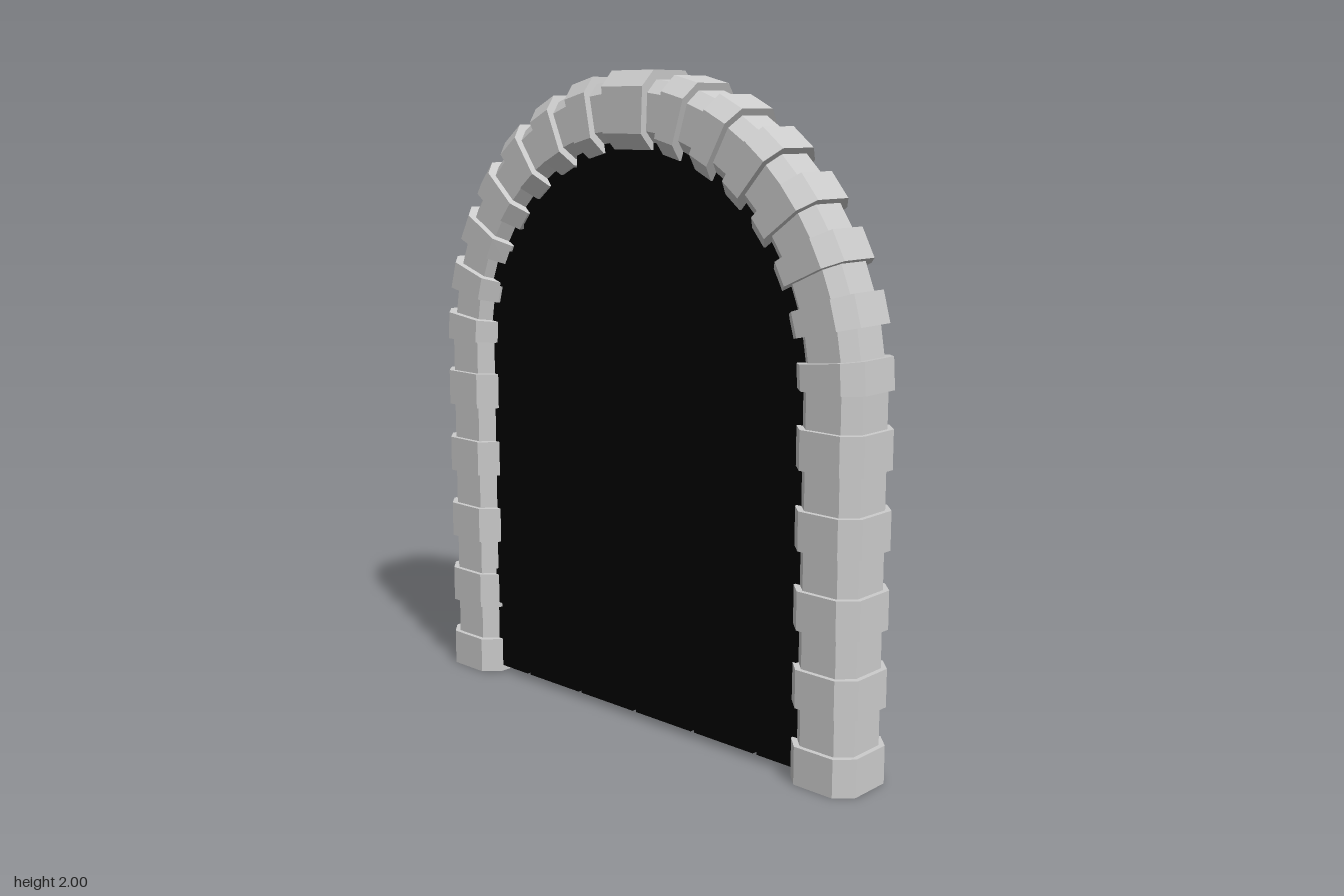
import * as THREE from 'three';

const RX = 0.74, RY = 0.76, SPRING = 1.125;      // centre line of the arch
const BIG = 0.115, SHAFT = 0.1, LINK = 0.093;    // half widths of proud and recessed stones
const FIRST = 3.8, STEP = 12, HALF = 3.05;       // arch stone angles in degrees

// Eight-sided ring around (x, y), spanned by direction (ux, uy) and z
function ring(x, y, ux, uy, size) {
  const c = size * 0.59, s = size;
  return [[s, -c], [s, c], [c, s], [-c, s], [-s, c], [-s, -c], [-c, -s], [c, -s]]
    .map(([u, z]) => [x + ux * u, y + uy * u, z]);
}

function archRing(deg, size) {
  const t = THREE.MathUtils.degToRad(deg), c = Math.cos(t), s = Math.sin(t);
  return ring(RX * c, SPRING + RY * s, c, s, size);
}

// Closed flat-sided stone between two rings
function stoneGeometry(a, b) {
  const p = [];
  const tri = (...pts) => pts.forEach((v) => p.push(...v));
  for (let i = 0; i < 8; i++) {
    const j = (i + 1) % 8;
    tri(a[i], b[i], b[j]);
    tri(a[i], b[j], a[j]);
    if (i > 0 && i < 7) {
      tri(a[0], a[i], a[j]);
      tri(b[0], b[j], b[i]);
    }
  }
  const g = new THREE.BufferGeometry();
  g.setAttribute('position', new THREE.Float32BufferAttribute(p, 3));
  g.computeVertexNormals();
  return g;
}

// Door slice between x0 and x1 with its top following the arch
function doorSlice(x0, x1, y0, depth) {
  const shape = new THREE.Shape();
  shape.moveTo(x0, y0);
  shape.lineTo(x1, y0);
  const n = 12;
  for (let i = 0; i <= n; i++) {
    const x = x1 + (x0 - x1) * (i / n);
    shape.lineTo(x, SPRING + 0.72 * Math.sqrt(1 - (x / 0.7) ** 2));
  }
  const g = new THREE.ExtrudeGeometry(shape, { depth, bevelEnabled: false });
  g.translate(0, 0, -depth / 2);
  return g;
}

export function createModel() {
  const model = new THREE.Group();
  const stone = new THREE.MeshStandardMaterial({ color: 0xcccccc, flatShading: true });
  const dark = new THREE.MeshStandardMaterial({ color: 0x000000 });
  const add = (parent, name, geometry, material) => {
    const mesh = new THREE.Mesh(geometry, material);
    mesh.name = name;
    parent.add(mesh);
    return mesh;
  };

  // Columns: a recessed shaft with proud stones at even spacing
  for (const side of [-1, 1]) {
    const column = new THREE.Group();
    column.name = side > 0 ? 'leftColumn' : 'rightColumn';
    model.add(column);
    const prism = (name, y0, y1, size) => add(column, name,
      stoneGeometry(ring(side * RX, y0, 1, 0, size), ring(side * RX, y1, 1, 0, size)), stone);
    prism('columnShaft', 0.01, 1.16, SHAFT);
    for (let i = 0; i < 5; i++) prism('columnStone', i * 0.2285, i * 0.2285 + 0.114, BIG);
  }

  // Arch: wedge stones alternating with recessed links
  const arch = new THREE.Group();
  arch.name = 'arch';
  model.add(arch);
  const wedge = (name, d0, d1, size) =>
    add(arch, name, stoneGeometry(archRing(d0, size), archRing(d1, size)), stone);
  for (let k = 0; k < 7; k++) {
    const mid = FIRST + k * STEP;
    const next = k < 6 ? mid + STEP - HALF : 86;
    wedge('archStone', mid - HALF, mid + HALF, BIG);
    wedge('archLink', mid + HALF, next, LINK);
    wedge('archStone', 180 - mid - HALF, 180 - mid + HALF, BIG);
    wedge('archLink', 180 - next, 180 - mid - HALF, LINK);
  }

  // Keystone: slightly tapered towards the opening
  const tilt = 0.04, top = SPRING + RY;
  add(arch, 'keystone', stoneGeometry(
    ring(0.08, top, tilt, 1, BIG), ring(-0.08, top, -tilt, 1, BIG)), stone);

  // Door: planks with narrow gaps over a thinner core, and two straps in front
  const door = new THREE.Group();
  door.name = 'door';
  model.add(door);
  for (let k = -3; k < 3; k++) {
    const x0 = Math.max(-0.68, -0.005 + k * 0.245 + 0.007);
    const x1 = Math.min(0.68, -0.005 + (k + 1) * 0.245 - 0.007);
    add(door, 'plank', doorSlice(x0, x1, 0.02, 0.12), dark);
  }
  add(door, 'doorCore', doorSlice(-0.67, 0.67, 0.05, 0.09), dark);
  for (const y of [0.303, 1.38]) {
    add(door, 'strap', new THREE.BoxGeometry(1.28, 0.115, 0.02), dark).position.set(0, y, 0.06);
  }
  return model;
}
